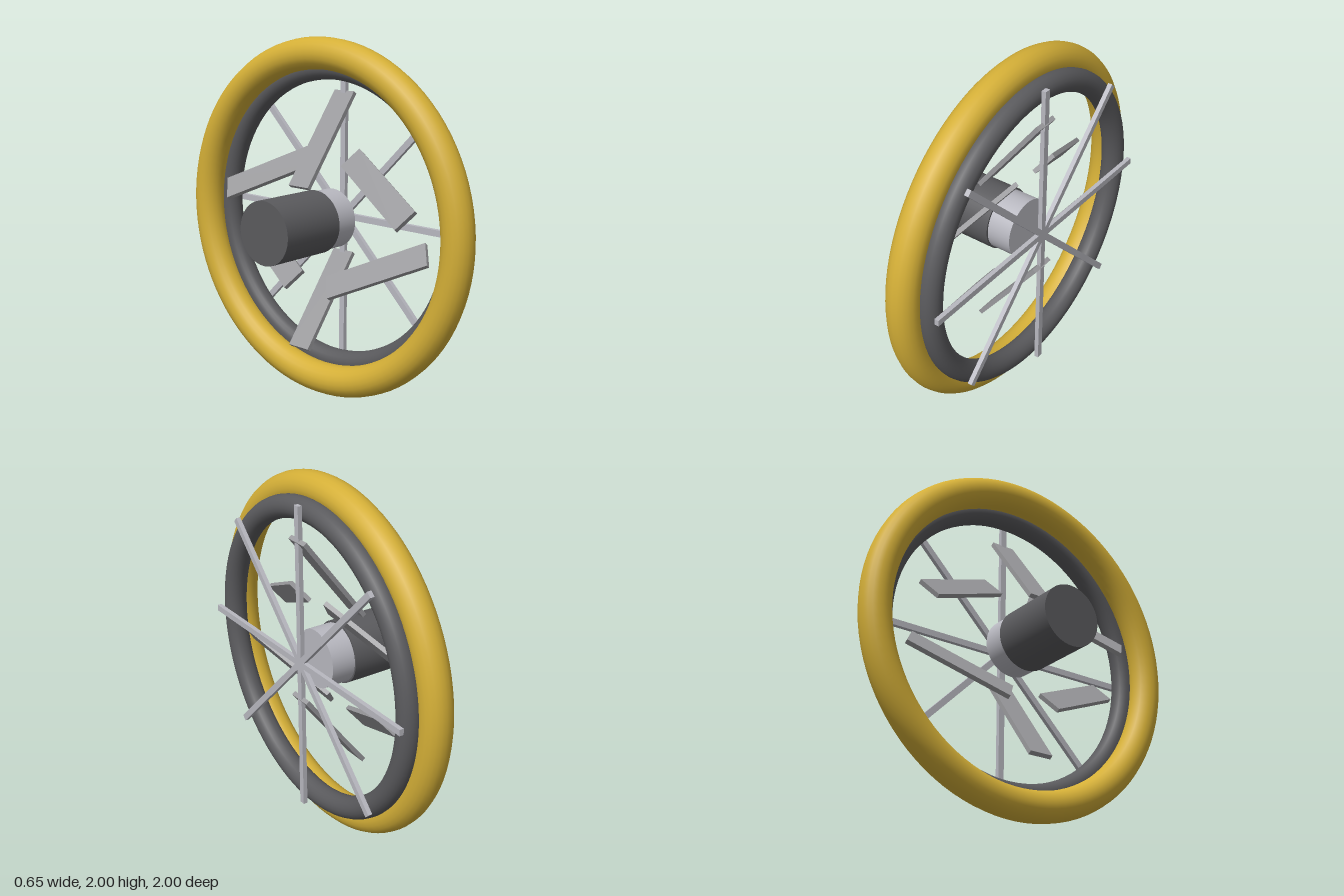
import * as THREE from 'three';

const mat = (name, color, extra) => Object.assign(new THREE.MeshStandardMaterial({ color }), { name });

export function createModel() {
  const gold = mat('gold', 0xd4af37);
  const charcoal = mat('charcoal', 0x5a5a5d);
  const silver = mat('silver', 0xb8b8c0);
  const steel = mat('steel grey', 0x9a9a9d);

  const model = new THREE.Group();
  model.name = 'fanWheel';
  // Everything is arranged around an axle along x at height 1
  const wheel = new THREE.Group();
  wheel.name = 'wheel';
  wheel.position.y = 1;
  model.add(wheel);

  const add = (name, geometry, material, x) => {
    const mesh = new THREE.Mesh(geometry, material);
    mesh.name = name;
    mesh.position.x = x;
    wheel.add(mesh);
    return mesh;
  };
  const ring = (name, radius, tube, material, x) =>
    add(name, new THREE.TorusGeometry(radius, tube, 20, 96).rotateY(Math.PI / 2), material, x);
  const drum = (name, radius, x0, x1, material) =>
    add(name, new THREE.CylinderGeometry(radius, radius, x1 - x0, 48).rotateZ(-Math.PI / 2), material, (x0 + x1) / 2);

  // Outer ring and the smaller guard ring in front of it
  ring('outerRing', 0.9125, 0.0875, gold, 0.125);
  ring('guardRing', 0.8275, 0.0635, charcoal, 0.222);

  // Motor housing and hub
  drum('motor', 0.175, -0.33, 0.07, charcoal);
  drum('hub', 0.165, 0.07, 0.21, silver);

  // Four full-width bars make eight guard spokes
  for (let i = 0; i < 4; i++) {
    add('guardBar', new THREE.BoxGeometry(0.025, 1.755, 0.035), silver, 0.3025).rotation.x = (i * Math.PI) / 4;
  }

  // Six blades: each is turned about the axle, then all lean the same way
  for (let i = 0; i < 6; i++) {
    const a = (i * Math.PI) / 3;
    const blade = add('blade', new THREE.BoxGeometry(0.025, 0.61, 0.14), steel, 0.125);
    blade.position.set(0.125, 0.45 * Math.cos(a), 0.45 * Math.sin(a));
    blade.rotation.set(-a, 0, -0.65, 'ZYX');
  }
  return model;
}
